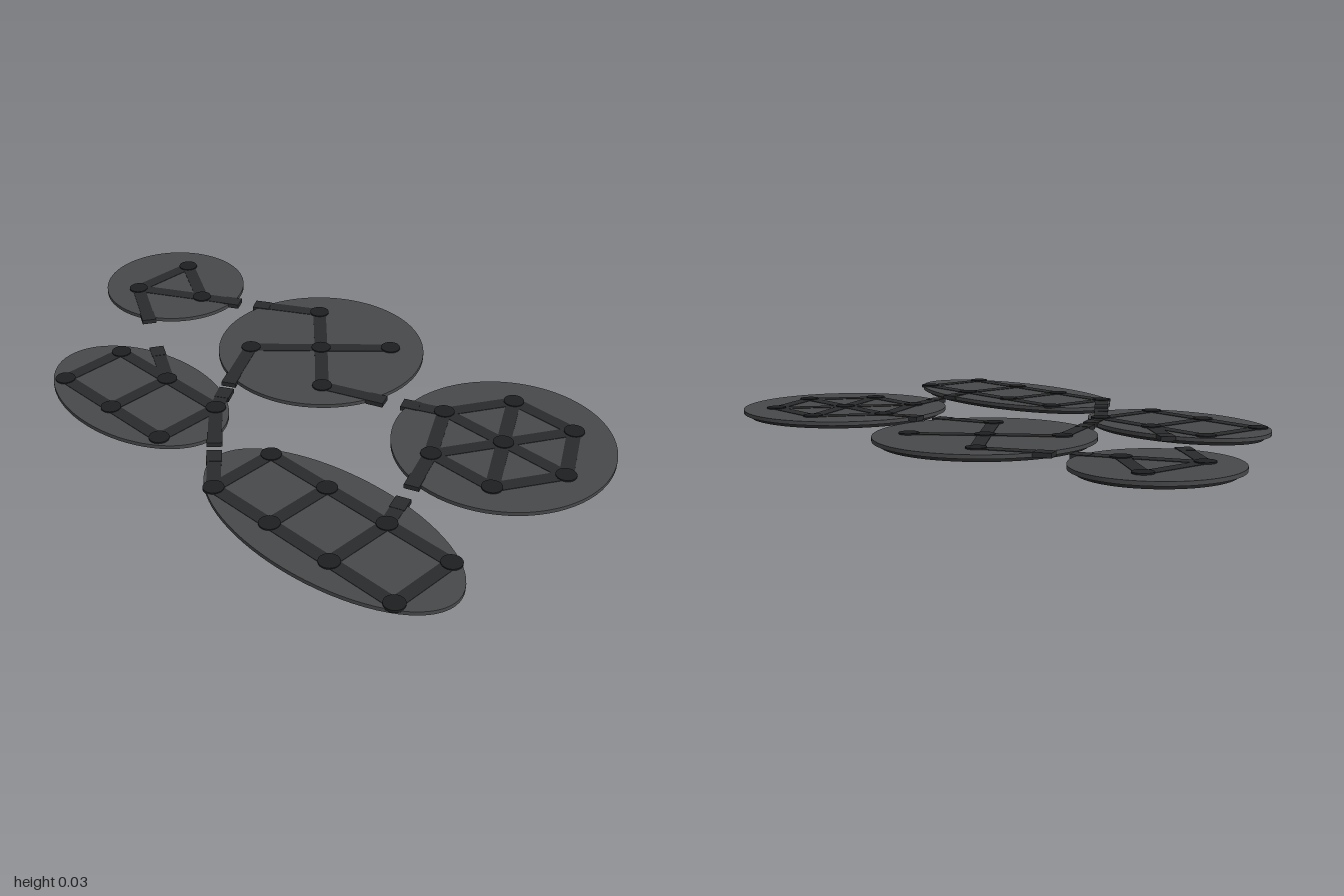
import * as THREE from 'three';

const mat = (color) => new THREE.MeshStandardMaterial({ color });
const plateMat = mat(0x48494b), baseMat = mat(0x222224), pathMat = mat(0x2a2b2d), nodeMat = mat(0x1e1f21);

// Each island: centre, radii, nodes [x, z], links between nodes, exits [node, endX, endZ]
const grid = (xs, zs) => zs.flatMap((z) => xs.map((x) => [x, z]));
const ladder = (n) => {
  const links = [];
  for (let i = 0; i < n; i++) {
    links.push([i, i + n]);
    if (i < n - 1) links.push([i, i + 1], [i + n, i + n + 1]);
  }
  return links;
};
const hexNodes = [[0.644, -0.27]];
const hexLinks = [];
for (let i = 0; i < 6; i++) {
  const a = (i * Math.PI) / 3;
  hexNodes.push([0.644 + 0.227 * Math.cos(a), -0.27 + 0.226 * Math.sin(a)]);
  hexLinks.push([0, i + 1], [i + 1, ((i + 1) % 6) + 1]);
}

const islands = [
  { name: 'triangleIsland', c: [-0.763, -0.213], r: [0.238, 0.238],
    nodes: [[-0.83, -0.33], [-0.63, -0.217], [-0.83, -0.1]],
    links: [[0, 1], [1, 2], [2, 0]],
    exits: [[1, -0.51, -0.285], [2, -0.635, 0.015]] },
  { name: 'crossIsland', c: [-0.107, -0.27], r: [0.333, 0.333],
    nodes: [[-0.107, -0.27], [-0.27, -0.43], [0.053, -0.43], [-0.27, -0.11], [0.053, -0.11]],
    links: [[0, 1], [0, 2], [0, 3], [0, 4]],
    exits: [[1, -0.465, -0.312], [3, -0.162, 0.09], [4, 0.248, -0.188]] },
  { name: 'hexagonIsland', c: [0.644, -0.27], r: [0.333, 0.333],
    nodes: hexNodes, links: hexLinks,
    exits: [[4, 0.295, -0.215], [3, 0.595, 0.085]] },
  { name: 'smallOvalIsland', c: [-0.315, 0.323], r: [0.333, 0.218],
    nodes: grid([-0.543, -0.316, -0.089], [0.21, 0.437]), links: ladder(3),
    exits: [[1, -0.487, 0.11], [2, -0.145, 0.113], [2, 0.048, 0.34]] },
  { name: 'largeOvalIsland', c: [0.548, 0.373], r: [0.449, 0.219],
    nodes: grid([0.206, 0.433, 0.66, 0.89], [0.26, 0.487]), links: ladder(4),
    exits: [[4, 0.075, 0.365], [2, 0.615, 0.14]] },
];

function add(group, name, geometry, material, x, y, z) {
  const mesh = new THREE.Mesh(geometry, material);
  mesh.name = name;
  mesh.position.set(x, y, z);
  group.add(mesh);
  return mesh;
}

// Elliptical disc between two heights
function disc(group, name, material, [x, z], rx, rz, y0, y1, sides) {
  const geometry = new THREE.CylinderGeometry(1, 1, y1 - y0, sides);
  geometry.scale(rx, 1, rz);
  add(group, name, geometry, material, x, (y0 + y1) / 2, z);
}

// Flat bar running from one point to another
function bar(group, name, [ax, az], [bx, bz], width, y0, y1) {
  const length = Math.hypot(bx - ax, bz - az);
  const mesh = add(group, name, new THREE.BoxGeometry(length, y1 - y0, width), pathMat,
    (ax + bx) / 2, (y0 + y1) / 2, (az + bz) / 2);
  mesh.rotation.y = -Math.atan2(bz - az, bx - ax);
}

export function createModel() {
  const model = new THREE.Group();
  model.name = 'islandBoard';
  for (const { name, c, r, nodes, links, exits } of islands) {
    const island = new THREE.Group();
    island.name = name;
    // Plate on a slightly smaller foot
    disc(island, 'foot', baseMat, c, r[0] - 0.022, r[1] - 0.022, 0, 0.012, 72);
    disc(island, 'plate', plateMat, c, r[0], r[1], 0.012, 0.024, 72);
    // Paths and round stops
    for (const [a, b] of links) bar(island, 'path', nodes[a], nodes[b], 0.042, 0.018, 0.0255);
    for (const n of nodes) disc(island, 'stop', nodeMat, n, 0.031, 0.031, 0.02, 0.0285, 24);
    // Paths leaving the plate, each ending in a connector tab
    for (const [n, x, z] of exits) {
      const [nx, nz] = nodes[n];
      const t = 0.055 / Math.hypot(x - nx, z - nz);
      const inner = [x + (nx - x) * t, z + (nz - z) * t];
      bar(island, 'exitPath', nodes[n], inner, 0.042, 0.0145, 0.0255);
      bar(island, 'connectorTab', inner, [x, z], 0.046, 0.012, 0.0265);
    }
    model.add(island);
  }
  return model;
}
